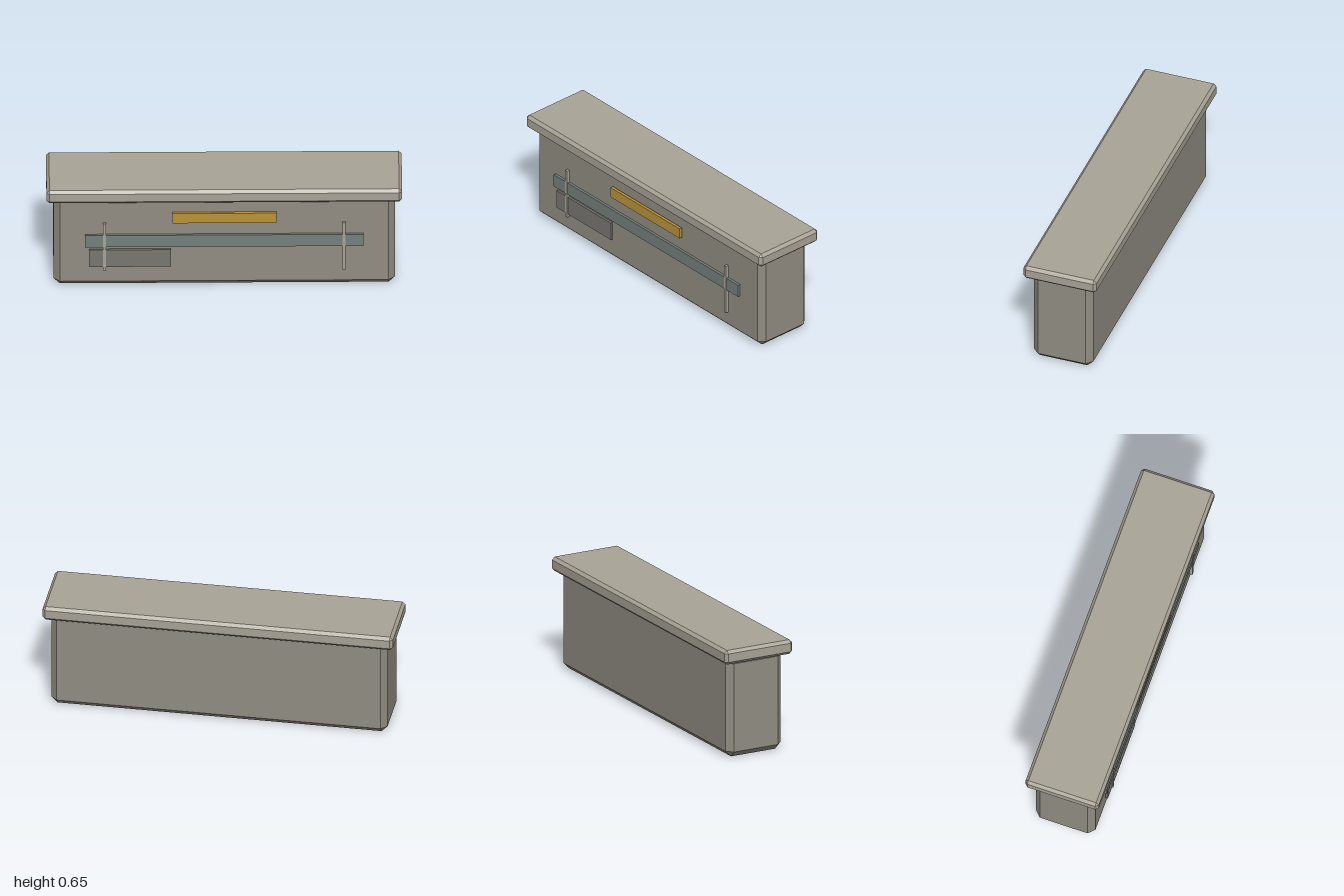
import * as THREE from 'three';
import { ConvexGeometry } from 'three/addons/geometries/ConvexGeometry.js';

const material = (color) => new THREE.MeshStandardMaterial({ color, flatShading: true });

// Box with every edge cut at 45 degrees, centred on the origin
function chamferedBox(width, height, depth, cut) {
  const half = [width / 2, height / 2, depth / 2];
  const points = [];
  for (const sx of [-1, 1]) for (const sy of [-1, 1]) for (const sz of [-1, 1]) {
    const signs = [sx, sy, sz];
    // Each corner becomes three points, one on each neighbouring face
    for (let face = 0; face < 3; face++) {
      points.push(new THREE.Vector3(
        ...half.map((h, axis) => signs[axis] * (axis === face ? h : h - cut))));
    }
  }
  return new ConvexGeometry(points);
}

export function createModel() {
  const model = new THREE.Group();
  model.name = 'chest';

  const stone = material(0x918d82);
  const paleStone = material(0xa8a396);
  const gold = material(0xb8923a);
  const teal = material(0x74807c);
  const darkGrey = material(0x777670);

  function add(name, geometry, mat, x, y, z) {
    const mesh = new THREE.Mesh(geometry, mat);
    mesh.name = name;
    mesh.position.set(x, y, z);
    model.add(mesh);
  }

  // Body, its top edge tucked under the lid
  add('body', chamferedBox(1.918, 0.591, 0.354, 0.035), stone, 0, 0.2955, 0);

  // Overhanging lid
  add('lid', chamferedBox(2, 0.084, 0.437, 0.017), paleStone, 0, 0.61, 0);

  // Thin plates standing just off the front
  add('namePlate', new THREE.BoxGeometry(0.585, 0.064, 0.017), gold, 0, 0.463, 0.194);
  add('band', new THREE.BoxGeometry(1.566, 0.077, 0.015), teal, 0, 0.309, 0.188);
  add('sidePlate', new THREE.BoxGeometry(0.461, 0.112, 0.013), darkGrey, -0.53, 0.195, 0.187);

  // Upright straps crossing the band
  for (const [name, side] of [['leftStrap', 1], ['rightStrap', -1]]) {
    add(name, new THREE.BoxGeometry(0.017, 0.307, 0.018), paleStone, side * 0.674, 0.271, 0.189);
  }

  return model;
}
